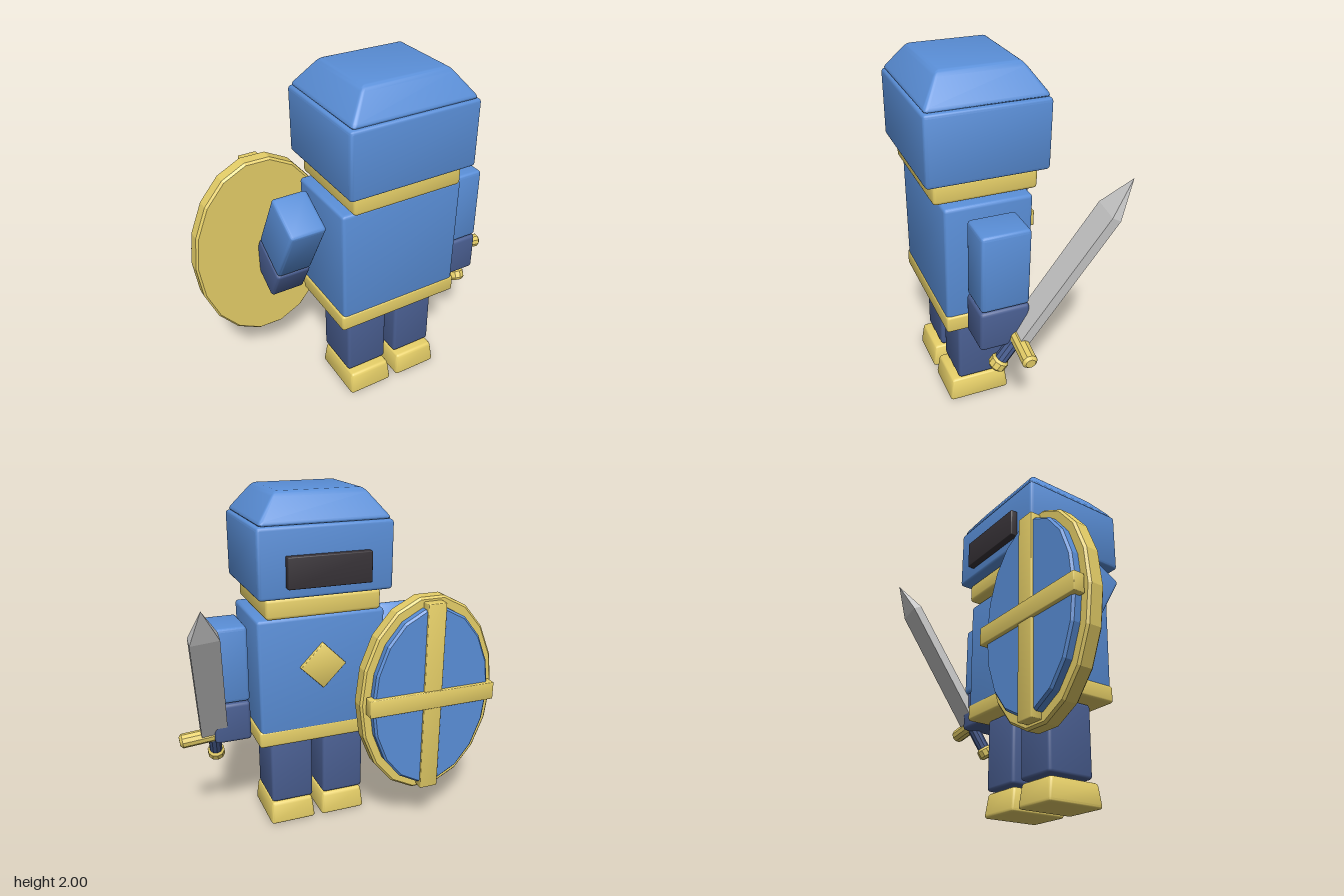
import * as THREE from 'three';
import { RoundedBoxGeometry } from 'three/addons/geometries/RoundedBoxGeometry.js';
import { toCreasedNormals } from 'three/addons/utils/BufferGeometryUtils.js';

const mat = (color) => new THREE.MeshStandardMaterial({ color });

export function createModel() {
  const model = new THREE.Group();
  const blue = mat(0x5a8fd8), navy = mat(0x4a5f92), gold = mat(0xe6cf68);
  const steel = mat(0xbdbdbd), dark = mat(0x383338);

  const add = (parent, name, geometry, material, x = 0, y = 0, z = 0) => {
    const mesh = new THREE.Mesh(geometry, material);
    mesh.name = name;
    mesh.position.set(x, y, z);
    parent.add(mesh);
    return mesh;
  };

  // Bevelled box, optionally narrowing to `top` times its width at the upper end
  const block = (w, h, d, r = 0.02, top = 1) => {
    const g = new RoundedBoxGeometry(w, h, d, 2, r);
    const p = g.attributes.position;
    for (let i = 0; i < p.count; i++) {
      const s = 1 + (top - 1) * (p.getY(i) / h + 0.5);
      p.setX(i, p.getX(i) * s);
      p.setZ(i, p.getZ(i) * s);
    }
    return toCreasedNormals(g, 0.6);
  };

  // Bevelled 18-sided oval plate, thickness along z, centred
  const oval = (rx, ry, depth, bevel) => {
    const pts = [];
    for (let i = 0; i < 18; i++) {
      const a = (i / 18) * Math.PI * 2;
      pts.push(new THREE.Vector2((rx - bevel) * Math.cos(a), (ry - bevel) * Math.sin(a)));
    }
    return new THREE.ExtrudeGeometry(new THREE.Shape(pts), {
      depth: depth - 2 * bevel, bevelEnabled: true, bevelThickness: bevel, bevelSize: bevel, bevelSegments: 1,
    }).translate(0, 0, -depth / 2 + bevel);
  };

  // Bevelled round rod along y
  const rod = (r, h, b) => toCreasedNormals(new THREE.LatheGeometry([
    [0, -h / 2], [r - b, -h / 2], [r, -h / 2 + b], [r, h / 2 - b], [r - b, h / 2], [0, h / 2],
  ].map(([x, y]) => new THREE.Vector2(x, y)), 10), 0.5);

  // Head
  add(model, 'helmet', block(0.76, 0.38, 0.66), blue, 0.09, 1.65, 0.13);
  add(model, 'helmetCrown', block(0.75, 0.16, 0.66, 0.025, 0.66), blue, 0.09, 1.92, 0.13);
  add(model, 'visor', block(0.47, 0.17, 0.06, 0.006), dark, 0.085, 1.605, -0.21);
  add(model, 'collar', block(0.66, 0.115, 0.565), gold, 0.09, 1.397, 0.128);

  // Body
  add(model, 'torso', block(0.735, 0.68, 0.475, 0.02, 1.015), blue, 0.088, 0.99, 0.128);
  add(model, 'belt', block(0.755, 0.1, 0.48, 0.015), gold, 0.088, 0.625, 0.13);
  add(model, 'chestDiamond', block(0.19, 0.19, 0.04, 0.005), gold, 0.09, 1.04, -0.115).rotation.z = Math.PI / 4;

  // Legs and boots
  for (const [side, x] of [['right', -0.073], ['left', 0.25]]) {
    add(model, side + 'Leg', block(0.258, 0.42, 0.297), navy, x, 0.36, 0.128);
    add(model, side + 'Boot', block(0.282, 0.14, 0.365, 0.02, 0.9), gold, x, 0.07, 0.152);
  }

  // Arms: the pivot sits at the centre of the upper arm
  const arm = (name, x, y, z, tilt) => {
    const g = new THREE.Group();
    g.name = name;
    g.position.set(x, y, z);
    g.rotation.x = tilt;
    add(g, 'upperArm', block(0.21, 0.44, 0.265), blue);
    add(g, 'hand', block(0.21, 0.235, 0.272), navy, 0, -0.342, 0);
    model.add(g);
  };
  arm('leftArm', 0.59, 1.055, 0.13, 0);
  arm('rightArm', -0.41, 1.07, 0.02, 0.51);

  // Shield
  const shield = new THREE.Group();
  shield.name = 'shield';
  shield.position.set(-0.475, 0.845, 0);
  add(shield, 'shieldRim', oval(0.42, 0.594, 0.092, 0.012), gold, 0, 0, -0.274);
  add(shield, 'shieldFace', oval(0.365, 0.535, 0.06, 0.012), blue, 0, 0, -0.338);
  add(shield, 'shieldVerticalBar', block(0.11, 1.125, 0.065, 0.006), gold, 0, 0, -0.35);
  add(shield, 'shieldCrossBar', block(0.78, 0.105, 0.065, 0.006), gold, 0, 0, -0.358);
  model.add(shield);

  // Sword, origin at the guard, blade along local y
  const sword = new THREE.Group();
  sword.name = 'sword';
  sword.position.set(0.69, 0.635, 0.06);
  sword.rotation.set(-0.53, 0, -0.122);
  const tip = new THREE.ConeGeometry(Math.SQRT1_2, 0.2, 4).rotateY(Math.PI / 4).scale(0.15, 1, 0.055);
  add(sword, 'blade', new THREE.BoxGeometry(0.15, 0.84, 0.055), steel, 0, 0.42, 0);
  add(sword, 'bladeTip', toCreasedNormals(tip, 0.1), steel, 0, 0.94, 0);
  add(sword, 'guard', rod(0.042, 0.4, 0.015), gold).rotation.z = Math.PI / 2;
  add(sword, 'grip', rod(0.037, 0.2, 0.004), navy, 0, -0.09, 0);
  add(sword, 'pommel', rod(0.05, 0.07, 0.015), gold, 0, -0.19, 0);
  model.add(sword);

  return model;
}
